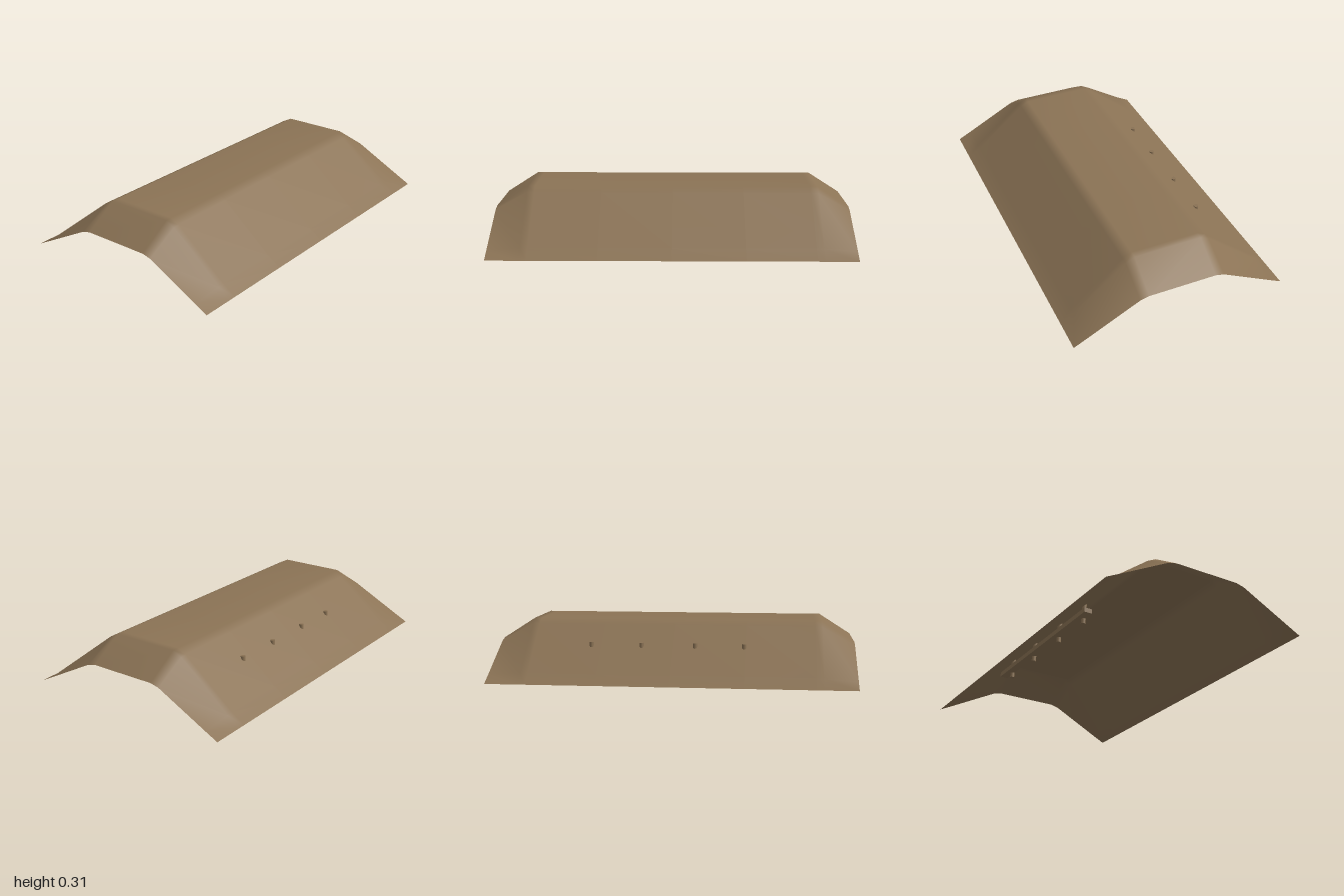
import * as THREE from 'three';

export function createModel() {
  const model = new THREE.Group();
  model.name = 'canopy';
  const canvas = new THREE.MeshStandardMaterial({ color: 0x8b7355, side: THREE.DoubleSide });
  canvas.name = 'tan canvas';

  // Half profile from ridge to hem: x, height along the middle, height at the open ends
  const half = [[0.19, 0.315, 0.2], [0.24, 0.29, 0.188], [0.53, 0.05, 0.038], [0.605, 0, 0]];
  const profile = [...half.map(([x, a, b]) => [-x, a, b]).reverse(), ...half];
  const rows = [-1, -0.82, -0.78, -0.4, 0, 0.4, 0.78, 0.82, 1];

  // Roof sheet: a grid shaped by the profile, dropping at both ends
  const sheet = new THREE.PlaneGeometry(1, 1, profile.length - 1, rows.length - 1);
  sheet.rotateX(-Math.PI / 2);
  const p = sheet.attributes.position;
  rows.forEach((z, r) => profile.forEach(([x, mid, end], c) => {
    p.setXYZ(r * profile.length + c, x, Math.abs(z) === 1 ? end : mid, z);
  }));
  sheet.computeVertexNormals();
  const roof = new THREE.Mesh(sheet, canvas);
  roof.name = 'roofSheet';
  model.add(roof);

  // Rail hung beneath the right slope
  const rail = new THREE.Mesh(new THREE.BoxGeometry(0.046, 0.026, 1.01), canvas);
  rail.name = 'rail';
  rail.position.set(-0.387, 0.116, -0.035);
  model.add(rail);

  // Slightly tilted pegs through rail and roof
  const low = new THREE.Vector3(-0.373, 0.073, 0);
  const high = new THREE.Vector3(-0.364, 0.203, 0);
  const axis = high.clone().sub(low);
  const pegShape = new THREE.CylinderGeometry(0.0125, 0.0125, axis.length(), 12);
  for (const z of [-0.455, -0.175, 0.122, 0.392]) {
    const peg = new THREE.Mesh(pegShape, canvas);
    peg.name = 'peg';
    peg.position.copy(low).add(high).multiplyScalar(0.5).setZ(z);
    peg.quaternion.setFromUnitVectors(new THREE.Vector3(0, 1, 0), axis.clone().normalize());
    model.add(peg);
  }
  return model;
}
